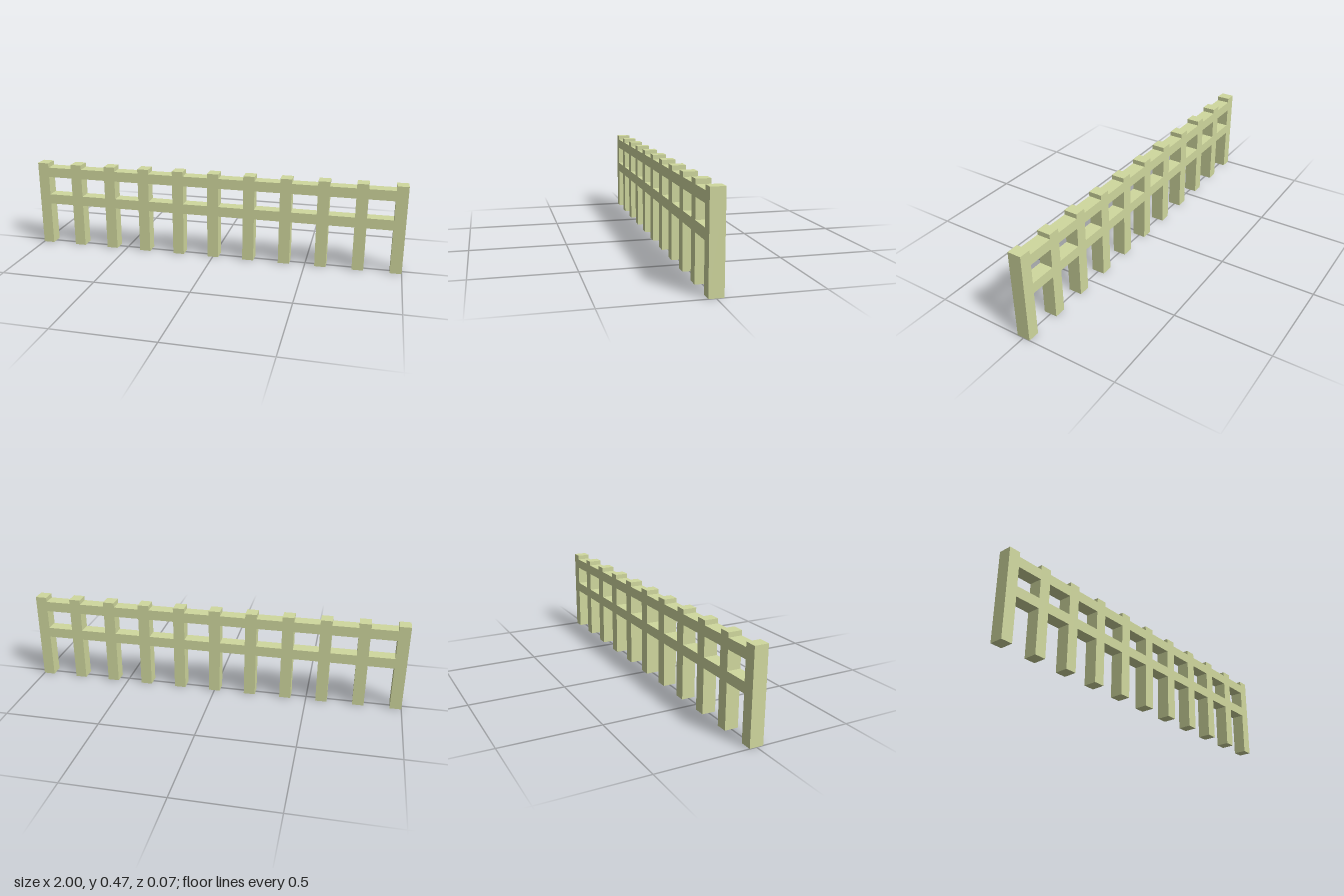
import * as THREE from 'three';

const POSTS = 11, POST_W = 0.06, HEIGHT = 0.467, DEPTH = 0.07;
const PITCH = (2 - POST_W) / (POSTS - 1);

export function createModel() {
  const fence = new THREE.Group();
  fence.name = 'fence';
  const wood = new THREE.MeshStandardMaterial({ color: 0xd0d89e });

  // Box spanning y0..y1, centred on x
  function bar(name, x, width, y0, y1) {
    const mesh = new THREE.Mesh(new THREE.BoxGeometry(width, y1 - y0, DEPTH), wood);
    mesh.position.set(x, (y0 + y1) / 2, 0);
    mesh.name = name;
    fence.add(mesh);
  }

  for (let i = 0; i < POSTS; i++) {
    const x = -1 + POST_W / 2 + i * PITCH;
    bar('post', x, POST_W, 0, HEIGHT);
    // Rails fill the gap to the next post, flush with its faces
    if (i < POSTS - 1) {
      bar('lowerRail', x + PITCH / 2, PITCH - POST_W, 0.234, 0.288);
      bar('upperRail', x + PITCH / 2, PITCH - POST_W, 0.389, 0.443);
    }
  }
  return fence;
}
